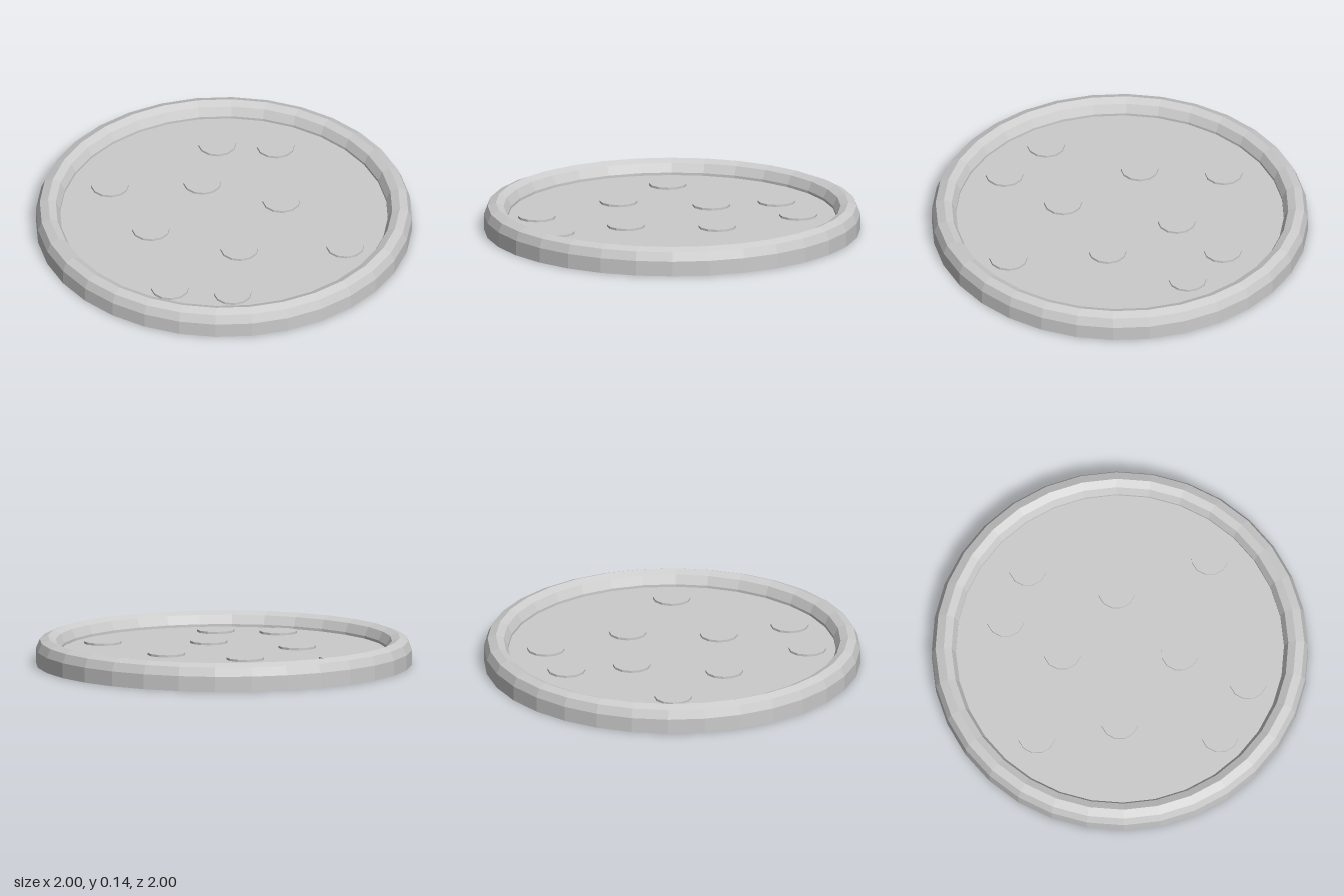
import * as THREE from 'three';

const SIDES = 32;
const FLOOR = 0.066;

export function createModel() {
  const model = new THREE.Group();
  const material = new THREE.MeshStandardMaterial({ color: 0xcccccc, flatShading: true });

  const add = (name, geometry, x = 0, y = 0, z = 0) => {
    const mesh = new THREE.Mesh(geometry, material);
    mesh.name = name;
    mesh.position.set(x, y, z);
    model.add(mesh);
  };

  // Dough: flat underside, upright side, rounded crust rim and sunken middle
  const profile = [
    [0, 0], [1, 0], [1, 0.08], [0.98, 0.127], [0.936, 0.145],
    [0.895, 0.127], [0.872, 0.08], [0.872, FLOOR], [0, FLOOR],
  ].map(([r, y]) => new THREE.Vector2(r, y));
  add('crustBase', new THREE.LatheGeometry(profile, SIDES));

  // Round topping slices lying on the sunken middle
  const thickness = 0.012;
  const slice = new THREE.CylinderGeometry(0.1, 0.1, thickness, 12);
  const spots = [
    [-0.01, -0.67], [-0.3, -0.555], [-0.225, -0.21], [0.225, -0.24], [-0.66, 0.02],
    [0.705, -0.015], [-0.297, 0.283], [0.205, 0.245], [0.34, 0.618], [0.019, 0.719],
  ];
  spots.forEach(([x, z], i) => add(`toppingSlice${i + 1}`, slice, x, FLOOR + thickness / 2, z));

  return model;
}
